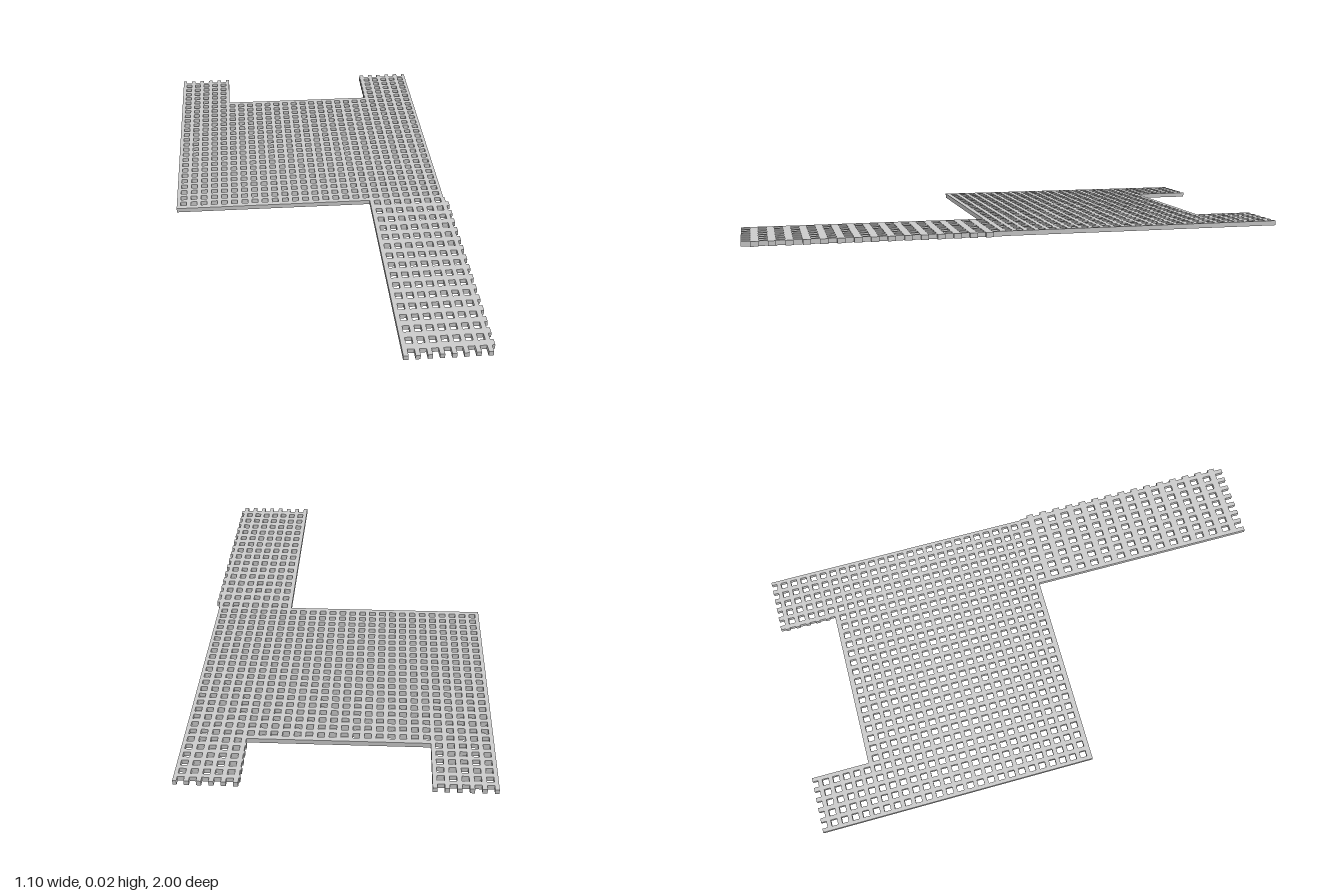
import * as THREE from 'three';

const THICK = 0.018;
// Square mesh of the main panel
const colX = (i) => -0.523 + i * 0.0413;
const rowZ = (j) => 0.053 - j * 0.0418;
const HX = 0.0122, HZ = 0.0123;
// Taller mesh of the long strip
const stripZ = (k) => 0.1015 + k * 0.0588;
const SZ = 0.0155;

// Open slots cut into an end edge at z = edge, for columns in the given order
function endSlots(cols, edge, depthZ) {
  return cols.flatMap((i) => {
    const x = colX(i), dir = Math.sign(cols[1] - cols[0]) * HX;
    return [[x - dir, edge], [x - dir, depthZ], [x + dir, depthZ], [x + dir, edge]];
  });
}

// Bar stub sticking out of a side edge from z = a to z = b
const stub = (base, tip, a, b) => [[base, a], [tip, a], [tip, b], [base, b]];

const range = (a, b) => {
  const step = a < b ? 1 : -1;
  return Array.from({ length: Math.abs(b - a) + 1 }, (_, n) => a + n * step);
};

function rectHole(x, z, hx, hz) {
  return new THREE.Path([[-1, -1], [-1, 1], [1, 1], [1, -1]]
    .map(([sx, sz]) => new THREE.Vector2(x + sx * hx, -(z + sz * hz))));
}

export function createModel() {
  const group = new THREE.Group();
  group.name = 'meshPanel';
  const inner = colX(20) + HX;

  // Outline in x, z: two short arms, a notch, the panel and the long strip
  const outline = [
    [-0.55, -1],
    ...endSlots(range(0, 4), -1, rowZ(25) + HZ),
    [-0.33, -1], [-0.33, -0.773], [inner, -0.773],
    ...range(20, 24).flatMap((j) => stub(inner, inner - 0.004, rowZ(j) - HZ, rowZ(j + 1) + HZ)),
    [inner, -1],
    ...endSlots(range(21, 25), -1, rowZ(25) + HZ),
    [0.535, -1], [0.535, 0.085], [0.539, 0.085],
    ...range(0, 14).flatMap((k) => stub(0.539, 0.55, stripZ(k) + SZ, stripZ(k + 1) - SZ)),
    [0.539, 1],
    ...endSlots(range(25, 19), 1, stripZ(15) - SZ),
    [0.232, 1], [0.232, 0.085], [-0.55, 0.085],
  ];
  const shape = new THREE.Shape(outline.map(([x, z]) => new THREE.Vector2(x, -z)));

  // Panel holes, leaving out the notch
  for (let j = 0; j < 25; j++) {
    for (let i = 0; i < 26; i++) {
      if (j >= 20 && i >= 5 && i <= 20) continue;
      shape.holes.push(rectHole(colX(i), rowZ(j), HX, HZ));
    }
  }
  // Strip holes
  for (let k = 0; k < 15; k++) {
    for (let i = 19; i < 26; i++) shape.holes.push(rectHole(colX(i), stripZ(k), HX, SZ));
  }

  const geometry = new THREE.ExtrudeGeometry(shape, { depth: THICK, bevelEnabled: false });
  geometry.rotateX(-Math.PI / 2);
  const panel = new THREE.Mesh(geometry, new THREE.MeshStandardMaterial({ color: 0xcccccc }));
  panel.name = 'perforatedPlate';
  group.add(panel);
  return group;
}
